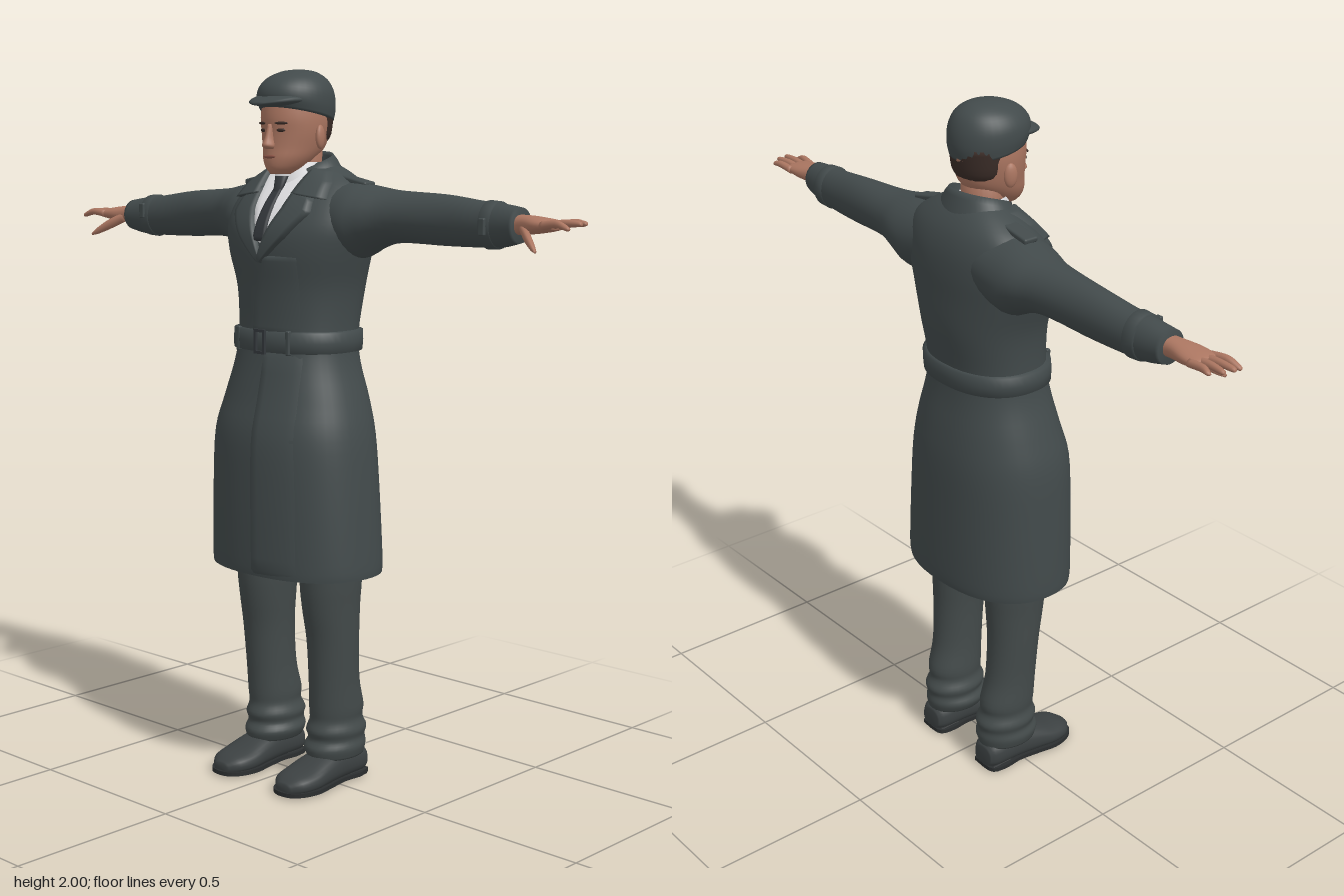
import * as THREE from 'three';
import { mergeVertices } from 'three/addons/utils/BufferGeometryUtils.js';
import { RoundedBoxGeometry } from 'three/addons/geometries/RoundedBoxGeometry.js';

const mat = (name, color, open) => {
  const m = new THREE.MeshStandardMaterial({ color });
  m.name = name;
  if (open) m.side = THREE.DoubleSide;
  return m;
};

// Smooth surface from a function of two parameter indices
function grid(nu, nv, fn, closed) {
  const pos = [], idx = [];
  for (let j = 0; j <= nv; j++) for (let i = 0; i <= nu; i++) pos.push(...fn(i, j));
  for (let j = 0; j < nv; j++) for (let i = 0; i < nu; i++) {
    const a = j * (nu + 1) + i, b = a + 1, c = a + nu + 1, d = c + 1;
    idx.push(a, b, d, a, d, c);
  }
  let g = new THREE.BufferGeometry();
  g.setAttribute('position', new THREE.Float32BufferAttribute(pos, 3));
  g.setIndex(idx);
  if (closed) {
    g = mergeVertices(g, 1e-5);
    // Turn the faces outward by the sign of the enclosed volume
    g.computeBoundingBox();
    const c = g.boundingBox.getCenter(new THREE.Vector3()), ix = g.index.array, p = g.attributes.position;
    const v = [0, 1, 2].map(() => new THREE.Vector3());
    let vol = 0;
    for (let k = 0; k < ix.length; k += 3) {
      v.forEach((q, n) => q.fromBufferAttribute(p, ix[k + n]).sub(c));
      vol += v[0].dot(v[1].clone().cross(v[2]));
    }
    if (vol < 0) for (let k = 0; k < ix.length; k += 3) [ix[k], ix[k + 1]] = [ix[k + 1], ix[k]];
  }
  g.computeVertexNormals();
  return g;
}

// Catmull-Rom resampling of section rows
function smooth(rows, sub = 4) {
  const out = [], at = i => rows[Math.min(Math.max(i, 0), rows.length - 1)];
  for (let i = 0; i < rows.length - 1; i++) for (let k = 0; k < sub; k++) {
    const t = k / sub;
    out.push(rows[i].map((p1, c) => {
      const p0 = at(i - 1)[c], p2 = at(i + 1)[c], p3 = at(i + 2)[c];
      return p1 + 0.5 * t * (p2 - p0 + t * (2 * p0 - 5 * p1 + 4 * p2 - p3 + t * (3 * (p1 - p2) + p3 - p0)));
    }));
  }
  out.push(rows[rows.length - 1]);
  return out;
}

// Skin over super-ellipse rows [along, centre1, centre2, radius1, radius2]
function loft(axis, rows, { n = 2, seg = 28, caps = true } = {}) {
  const first = rows[0], last = rows[rows.length - 1];
  const r = caps ? [[...first.slice(0, 3), 0, 0], ...rows, [...last.slice(0, 3), 0, 0]] : rows;
  const pw = v => Math.sign(v) * Math.abs(v) ** (2 / n);
  return grid(seg, r.length - 1, (i, j) => {
    const a = (i % seg) / seg * Math.PI * 2, [t, c1, c2, r1, r2] = r[j];
    const p = c1 + r1 * pw(Math.cos(a)), q = c2 + r2 * pw(Math.sin(a));
    return axis === 'x' ? [t, p, q] : axis === 'y' ? [p, t, q] : [p, q, t];
  }, true);
}

// Front depth of a vertical loft at x, y
function frontZ(rows, n, x, y) {
  let i = 0;
  while (i < rows.length - 2 && rows[i + 1][0] < y) i++;
  const a = rows[i], b = rows[i + 1], t = THREE.MathUtils.clamp((y - a[0]) / (b[0] - a[0]), 0, 1);
  const [, cx, cz, rx, rz] = a.map((v, k) => v + (b[k] - v) * t);
  return cz + rz * Math.max(0, 1 - Math.abs((x - cx) / rx) ** n) ** (1 / n);
}

export function createModel() {
  const M = {
    coat: mat('coat cloth', 0x424a4b, true), trousers: mat('trouser cloth', 0x434a4a),
    skin: mat('skin', 0xab7661), shirt: mat('shirt white', 0xe6e6e8, true), tie: mat('tie charcoal', 0x34383c, true),
    shoe: mat('shoe leather', 0x3c4142), sole: mat('sole rubber', 0x2b2e2f),
    hair: mat('dark hair', 0x3a2c27), lips: mat('lips', 0x8c5548),
  };
  const model = new THREE.Group();
  const add = (name, geo, m, x = 0, y = 0, z = 0) => {
    const mesh = new THREE.Mesh(geo, m);
    mesh.name = name;
    mesh.position.set(x, y, z);
    model.add(mesh);
    return mesh;
  };

  // Coat body: height, left, right, back, front
  const N = 2.3;
  const body = smooth([
    [0.615, -0.25, 0.28, -0.183, 0.185], [0.66, -0.252, 0.28, -0.187, 0.187], [0.85, -0.248, 0.265, -0.187, 0.186],
    [1.0, -0.24, 0.248, -0.185, 0.18], [1.1, -0.215, 0.222, -0.175, 0.155], [1.2, -0.185, 0.19, -0.16, 0.132],
    [1.28, -0.177, 0.18, -0.158, 0.12], [1.4, -0.187, 0.19, -0.178, 0.12], [1.5, -0.218, 0.218, -0.183, 0.128],
    [1.57, -0.235, 0.235, -0.185, 0.12], [1.63, -0.23, 0.23, -0.18, 0.09], [1.68, -0.2, 0.2, -0.165, 0.05],
    [1.72, -0.14, 0.14, -0.14, 0.015], [1.75, -0.08, 0.08, -0.11, -0.01],
  ].map(([y, l, r, b, f]) => [y, (l + r) / 2, (b + f) / 2, (r - l) / 2, (f - b) / 2]));
  add('coatBody', loft('y', body, { n: N, seg: 48, caps: false }), M.coat);

  // Cloth panel between two outlines, laid on the coat front with turned-in edges
  const along = (line, t) => {
    const k = Math.min(Math.floor(t * (line.length - 1)), line.length - 2), f = t * (line.length - 1) - k;
    return line[k].map((v, c) => v + (line[k + 1][c] - v) * f);
  };
  const edge = (i, n) => i === 0 ? 0 : i === n ? 1 : 0.03 + 0.94 * (i - 1) / (n - 2);
  const panel = (name, a, b, off, m, ramp) => add(name, grid(8, 18, (i, j) => {
    const u = edge(i, 8), v = edge(j, 18), p = along(a, v), q = along(b, v);
    const x = p[0] + (q[0] - p[0]) * u, y = p[1] + (q[1] - p[1]) * u;
    const rim = i === 0 || i === 8 || j === 0 || j === 18;
    return [x, y, frontZ(body, N, x, y) + (rim ? -0.003 : ramp ? off * (1 - u) : off)];
  }), m);
  const mirror = line => line.map(([x, y]) => [-x, y]);

  // Shirt, tie and knot
  const vEdge = [[0.09, 1.735], [0.062, 1.635], [0.004, 1.53]];
  panel('shirtFront', mirror(vEdge), vEdge, 0.005, M.shirt);
  add('shirtCollar', loft('y', [[1.67, 0, -0.02, 0.08, 0.07], [1.72, 0, -0.028, 0.071, 0.068], [1.75, 0, -0.035, 0.067, 0.064]], { caps: false }), M.shirt);
  const tieEdge = [[0.013, 1.69], [0.018, 1.62], [0.023, 1.535]];
  panel('tie', mirror(tieEdge), tieEdge, 0.013, M.tie);
  add('tieKnot', loft('y', [[1.67, 0, 0.062, 0.013, 0.012], [1.712, 0, 0.045, 0.022, 0.014]], { seg: 12 }), M.tie);

  // Front overlap above and below the belt
  panel('chestOverlap', [[0.015, 1.5], [-0.01, 1.44], [-0.032, 1.37], [-0.038, 1.28]], [[0.12, 1.5], [0.12, 1.44], [0.12, 1.37], [0.12, 1.28]], 0.009, M.coat, true);
  panel('skirtOverlap', [[0.012, 1.24], [0.018, 0.9], [0.022, 0.618]], [[0.13, 1.24], [0.16, 0.9], [0.17, 0.618]], 0.009, M.coat, true);

  // Lapels and collar points
  for (const s of [1, -1]) {
    const side = line => s > 0 ? line : mirror(line);
    panel('lapel', side([[0.066, 1.69], [0.052, 1.625], [0.022, 1.56], [-0.006, 1.485]]),
      side([[0.13, 1.655], [0.14, 1.615], [0.085, 1.55], [0.0, 1.475]]), s > 0 ? 0.017 : 0.014, M.coat);
    panel('collarPoint', side([[0.08, 1.735], [0.07, 1.7], [0.062, 1.665]]),
      side([[0.118, 1.73], [0.15, 1.695], [0.165, 1.65]]), 0.022, M.coat);
  }

  // Turned-down collar round the neck
  add('collar', grid(36, 4, (i, j) => {
    const a = (i / 18 - 1) * 2.35, f = (a / 2.35) ** 2;
    const top = 1.778 - 0.045 * f;
    const [rx, rz, y] = [[0.07, 0.065, 1.69], [0.078, 0.07, top - 0.01], [0.086, 0.075, top],
      [0.1, 0.084, top - 0.015], [0.14, 0.1, top - 0.068]][j];
    return [rx * Math.sin(a), y, -0.042 - rz * Math.cos(a)];
  }), M.coat);

  // Belt with buckle and loops
  const beltRow = (y, g) => {
    const r = body.reduce((p, q) => Math.abs(q[0] - y) < Math.abs(p[0] - y) ? q : p);
    return [y, r[1], r[2], r[3] + g, r[4] + g];
  };
  add('belt', loft('y', [beltRow(1.232, -0.004), beltRow(1.235, 0.01), beltRow(1.262, 0.013), beltRow(1.29, 0.012), beltRow(1.294, -0.004)], { n: N, seg: 48, caps: false }), M.coat);
  const frame = new THREE.Shape([[-0.02, -0.034], [0.02, -0.034], [0.02, 0.034], [-0.02, 0.034]].map(p => new THREE.Vector2(...p)));
  frame.holes.push(new THREE.Path([[-0.013, -0.026], [-0.013, 0.026], [0.013, 0.026], [0.013, -0.026]].map(p => new THREE.Vector2(...p))));
  add('buckle', new THREE.ExtrudeGeometry(frame, { depth: 0.009, bevelEnabled: false }), M.tie, 0.006, 1.263, 0.134);
  for (const x of [-0.1, 0.095]) add('beltLoop', new RoundedBoxGeometry(0.014, 0.068, 0.014, 2, 0.004), M.coat, x, 1.263, frontZ(body, N, x, 1.263) + 0.011);

  // Arms, hands, legs and shoes
  for (const s of [1, -1]) {
    const arm = rows => smooth(rows.map(([x, y, z, a, b]) => [s * x, y + s * 0.014 * x, z + s * 0.024 * x, a, b]));
    const sleeve = arm([[0.1, 1.605, -0.065, 0.09, 0.1], [0.2, 1.59, -0.06, 0.103, 0.112], [0.26, 1.598, -0.066, 0.086, 0.1],
      [0.34, 1.603, -0.072, 0.07, 0.075], [0.5, 1.597, -0.075, 0.067, 0.056], [0.62, 1.59, -0.07, 0.06, 0.051],
      [0.7, 1.588, -0.064, 0.055, 0.047], [0.757, 1.59, -0.058, 0.045, 0.043]]);
    add('sleeve', loft('x', sleeve), M.coat);
    const strap = [[0.648, 0.05, 0.045], [0.65, 0.063, 0.055], [0.682, 0.061, 0.054], [0.684, 0.05, 0.045]];
    add('cuffStrap', loft('x', strap.map(([x, a, b]) => [s * x, 1.589 + s * 0.009, -0.067 + s * 0.016, a, b])), M.coat);
    add('cuffBuckle', new RoundedBoxGeometry(0.02, 0.045, 0.012, 2, 0.004), M.coat, s * 0.666, 1.595, -0.012 + s * 0.016);
    add('palm', loft('x', arm([[0.72, 1.59, -0.058, 0.026, 0.03], [0.77, 1.592, -0.055, 0.025, 0.03],
      [0.82, 1.592, -0.052, 0.021, 0.042], [0.865, 1.592, -0.052, 0.014, 0.043], [0.875, 1.592, -0.052, 0.009, 0.038]]), { n: 2.3 }), M.skin);
    [[0.93, -0.088, -0.098, 1.596], [0.95, -0.063, -0.071, 1.598], [0.956, -0.04, -0.041, 1.598], [0.943, -0.017, -0.008, 1.588]].forEach(([tip, z0, z1, y]) =>
      add('finger', loft('x', arm([[0.85, 1.592, z0, 0.011, 0.011], [0.9, 1.598, (z0 + z1) / 2, 0.01, 0.01],
        [tip - 0.008, y, z1, 0.007, 0.008], [tip, y - 0.002, z1, 0.002, 0.003]]), { seg: 10 }), M.skin));
    add('thumb', loft('x', arm([[0.775, 1.585, -0.04, 0.014, 0.016], [0.81, 1.565, -0.012, 0.016, 0.015],
      [0.845, 1.543, 0.012, 0.011, 0.011], [0.864, 1.531, 0.024, 0.004, 0.005]]), { seg: 10 }), M.skin);
    // Epaulette
    add('epaulette', new RoundedBoxGeometry(0.105, 0.016, 0.045, 3, 0.006), M.coat, s * 0.18, 1.7, -0.06).rotation.z = -s * 0.2;

    const cx = s * 0.125 + 0.017;
    add('trouserLeg', loft('y', smooth([[0.9, 0, -0.005, 0.09, 0.1], [0.62, 0, -0.005, 0.083, 0.096], [0.52, 0, -0.006, 0.077, 0.089],
      [0.42, 0.002, -0.012, 0.071, 0.079], [0.3, 0, -0.02, 0.067, 0.078], [0.22, -0.002, -0.032, 0.069, 0.086], [0.185, -0.003, -0.032, 0.067, 0.084],
      [0.155, -0.004, -0.034, 0.077, 0.096], [0.13, -0.004, -0.035, 0.072, 0.09], [0.105, -0.006, -0.03, 0.08, 0.098], [0.078, -0.003, -0.03, 0.07, 0.092]]
      .map(([y, x, ...r]) => [y, cx + s * x, ...r]))), M.trousers);
    add('shoe', loft('z', smooth([[-0.127, 0.045, 0.034, 0.03], [-0.1, 0.052, 0.05, 0.044], [-0.02, 0.055, 0.053, 0.05], [0.05, 0.047, 0.061, 0.043],
      [0.11, 0.036, 0.066, 0.033], [0.16, 0.031, 0.055, 0.026], [0.19, 0.025, 0.024, 0.014]].map(([z, ...r]) => [z, cx, ...r])), { n: 2.4 }), M.shoe);
    const half = [[0.038, -0.125], [0.054, -0.08], [0.05, -0.02], [0.06, 0.05], [0.069, 0.11], [0.055, 0.165], [0.024, 0.194]];
    const outline = [...half, ...mirror(half).reverse()].map(p => new THREE.Vector2(...p));
    const sole = new THREE.ExtrudeGeometry(new THREE.Shape(new THREE.SplineCurve([...outline, outline[0]]).getPoints(48)), { depth: 0.012, bevelEnabled: false });
    add('sole', sole.rotateX(Math.PI / 2), M.sole, cx, 0.018, 0);
    add('heel', new RoundedBoxGeometry(0.09, 0.02, 0.075, 2, 0.008), M.sole, cx, 0.01, -0.082);
  }

  // Head and neck
  const head = smooth([[1.718, 0, 0.045, 0.026, 0.036], [1.735, 0, 0.032, 0.047, 0.06], [1.76, 0, 0.016, 0.065, 0.079], [1.79, 0, -0.002, 0.077, 0.094],
    [1.83, 0, -0.009, 0.087, 0.1], [1.87, 0, -0.012, 0.09, 0.106], [1.92, 0, -0.012, 0.085, 0.1]]);
  add('head', loft('y', head), M.skin);
  add('neck', loft('y', [[1.66, 0, -0.035, 0.062, 0.06], [1.74, 0, -0.032, 0.058, 0.056], [1.82, 0, -0.028, 0.062, 0.062]]), M.skin);
  add('nose', loft('y', smooth([[1.786, 0, 0.092, 0.012, 0.012], [1.795, 0, 0.095, 0.017, 0.022], [1.815, 0, 0.09, 0.011, 0.019], [1.852, 0, 0.085, 0.008, 0.012]]), { seg: 14 }), M.skin);
  add('hair', loft('y', smooth([[1.8, 0, -0.045, 0.06, 0.052], [1.825, 0, -0.045, 0.079, 0.066], [1.89, 0, -0.04, 0.088, 0.08]])), M.hair);
  const bead = (name, m, x, y, z, a, b, c) => {
    const mesh = add(name, new THREE.SphereGeometry(1, 16, 10), m, x, y, z);
    mesh.scale.set(a, b, c);
    return mesh;
  };
  for (const s of [1, -1]) {
    bead('ear', M.skin, s * 0.09, 1.818, -0.012, 0.011, 0.033, 0.019).rotation.y = s * 0.3;
    bead('eye', M.hair, s * 0.034, 1.836, frontZ(head, 2, 0.034, 1.836), 0.013, 0.005, 0.004).rotation.y = s * 0.35;
    bead('eyebrow', M.hair, s * 0.036, 1.855, frontZ(head, 2, 0.036, 1.855), 0.02, 0.004, 0.004).rotation.y = s * 0.35;
  }
  bead('mouth', M.lips, 0, 1.765, 0.094, 0.023, 0.005, 0.004);

  // Flat cap, tilted up at the front, with a peak
  const cap = loft('y', smooth([[1.88, 0.003, -0.01, 0.098, 0.106], [1.91, 0.003, -0.008, 0.103, 0.115], [1.945, 0.003, -0.01, 0.099, 0.109],
    [1.975, 0.003, -0.014, 0.079, 0.088], [1.994, 0.003, -0.018, 0.045, 0.052], [2.0, 0.003, -0.02, 0.012, 0.014]]), { seg: 36 });
  const p = cap.attributes.position;
  for (let i = 0; i < p.count; i++) p.setY(i, p.getY(i) + p.getZ(i) * 0.2 * (2 - p.getY(i)) / 0.12);
  cap.computeVertexNormals();
  add('cap', cap, M.coat);
  add('capPeak', loft('z', smooth([[0.02, 0.002, 1.918, 0.09, 0.02], [0.08, 0.002, 1.916, 0.082, 0.018], [0.118, 0.002, 1.911, 0.056, 0.011], [0.141, 0.002, 1.906, 0.016, 0.004]])), M.coat);

  return model;
}
